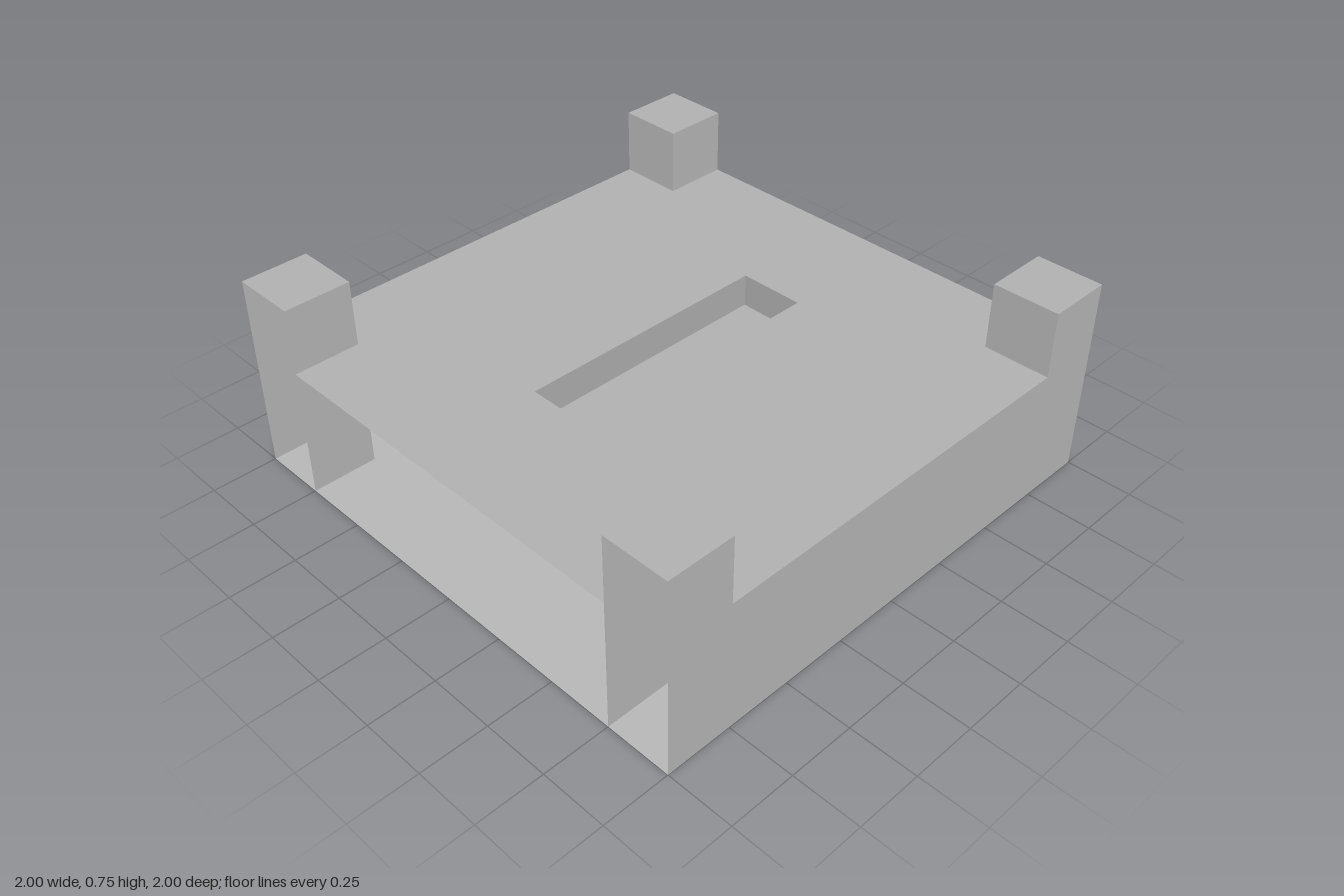
import * as THREE from 'three';

export function createModel() {
  const model = new THREE.Group();
  model.name = 'postedTable';

  const wallGrey = new THREE.MeshStandardMaterial({ color: 0xb9b9b9, side: THREE.DoubleSide });
  wallGrey.name = 'light grey';
  const topGrey = new THREE.MeshStandardMaterial({ color: 0xb2b2b2, side: THREE.DoubleSide });
  topGrey.name = 'mid grey';

  const add = (name, geometry, material, parent = model) => {
    const mesh = new THREE.Mesh(geometry, material);
    mesh.name = name;
    parent.add(mesh);
    return mesh;
  };
  const outline = (points) => new THREE.Shape(points.map(([x, y]) => new THREE.Vector2(x, y)));

  // Single-sheet panels, each facing along one axis
  const facingZ = (w, h, x, y, z, sign) =>
    new THREE.PlaneGeometry(w, h).rotateY(sign > 0 ? 0 : Math.PI).translate(x, y, z);
  const facingX = (w, h, x, y, z, sign) =>
    new THREE.PlaneGeometry(w, h).rotateY(sign * Math.PI / 2).translate(x, y, z);
  const facingUp = (w, d, x, y, z) =>
    new THREE.PlaneGeometry(w, d).rotateX(-Math.PI / 2).translate(x, y, z);

  // Floor sheet
  add('floor', new THREE.PlaneGeometry(2, 2).rotateX(Math.PI / 2), wallGrey);

  // Front and back walls, rising into the posts at both ends
  const wall = outline([
    [-1, 0], [1, 0], [1, 0.75], [0.75, 0.75], [0.75, 0.5],
    [-0.75, 0.5], [-0.75, 0.75], [-1, 0.75],
  ]);
  add('frontWall', new THREE.ShapeGeometry(wall).translate(0, 0, 1), wallGrey);
  add('backWall', new THREE.ShapeGeometry(wall).rotateY(Math.PI).translate(0, 0, -1), wallGrey);

  // Table top, cut around the posts and pierced by the slot
  const top = outline([
    [-0.75, -1], [0.75, -1], [0.75, -0.75], [1, -0.75], [1, 0.75], [0.75, 0.75],
    [0.75, 1], [-0.75, 1], [-0.75, 0.75], [-1, 0.75], [-1, -0.75], [-0.75, -0.75],
  ]);
  top.holes.push(outline([[-0.5, -0.125], [-0.5, 0.125], [0.5, 0.125], [0.5, -0.125]]));
  add('tableTop', new THREE.ShapeGeometry(top).rotateX(-Math.PI / 2).translate(0, 0.5, 0), topGrey);

  // Shallow slot sunk into the top
  const slot = new THREE.Group();
  slot.name = 'slot';
  model.add(slot);
  add('slotFloor', facingUp(1, 0.25, 0, 0.375, 0), topGrey, slot);
  for (const s of [-1, 1]) {
    add('slotLongSide', facingZ(1, 0.125, 0, 0.4375, s * 0.125, -s), topGrey, slot);
    add('slotEnd', facingX(0.25, 0.125, s * 0.5, 0.4375, 0, -s), topGrey, slot);
  }

  // Corner posts: the outer side is closed on the left pair and open on the right
  for (const sx of [-1, 1]) {
    for (const sz of [-1, 1]) {
      const post = new THREE.Group();
      post.name = 'cornerPost';
      model.add(post);
      add('postTop', facingUp(0.25, 0.25, sx * 0.875, 0.75, sz * 0.875), topGrey, post);
      add('postInnerFace', facingZ(0.25, 0.75, sx * 0.875, 0.375, sz * 0.75, -sz), wallGrey, post);
      add('postInnerSide', facingX(0.25, 0.75, sx * 0.75, 0.375, sz * 0.875, -sx), wallGrey, post);
      if (sx > 0) add('postOuterSide', facingX(0.25, 0.75, 1, 0.375, sz * 0.875, 1), wallGrey, post);
    }
  }

  return model;
}
